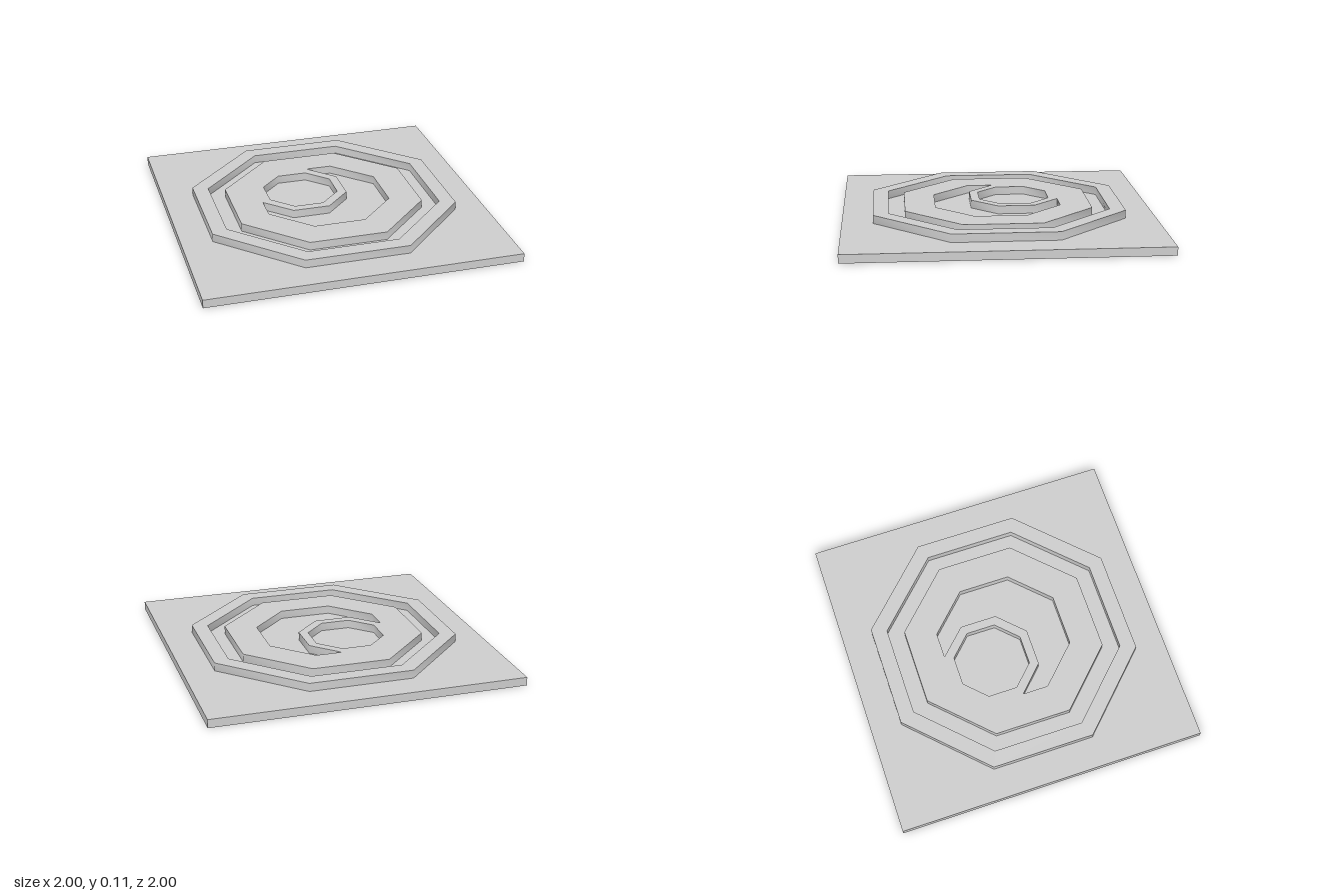
import * as THREE from 'three';
import { toCreasedNormals } from 'three/addons/utils/BufferGeometryUtils.js';

const BASE = 0.054, TOP = 0.107;

// Octagon corners (x, z) from its centre and its centre-to-side distance
function octagon(apothem, cx = 0, cz = 0) {
  const r = apothem / Math.cos(Math.PI / 8);
  return Array.from({ length: 8 }, (_, i) => {
    const a = (i + 0.5) * Math.PI / 4;
    return new THREE.Vector2(cx + r * Math.cos(a), cz + r * Math.sin(a));
  });
}

// Raised plate on the slab: sharp rims, smooth walls round the 45 degree corners
function plate(name, outline, holes, material) {
  const shape = new THREE.Shape(outline);
  shape.holes = holes.map((h) => new THREE.Path(h));
  const extruded = new THREE.ExtrudeGeometry(shape, { depth: TOP - BASE, bevelEnabled: false });
  extruded.rotateX(Math.PI / 2).translate(0, TOP, 0);
  const mesh = new THREE.Mesh(toCreasedNormals(extruded, THREE.MathUtils.degToRad(50)), material);
  mesh.name = name;
  return mesh;
}

export function createModel() {
  const group = new THREE.Group();
  group.name = 'reliefTile';
  const stone = new THREE.MeshStandardMaterial({ color: 0xcccccc });
  stone.name = 'light grey';

  // Square slab
  const slab = new THREE.Mesh(new THREE.BoxGeometry(2, BASE, 2), stone);
  slab.name = 'slab';
  slab.position.y = BASE / 2;
  group.add(slab);

  // Outer octagonal rim
  group.add(plate('outerRim', octagon(0.803), [octagon(0.705)], stone));

  // Inner medallion with a crescent recess and an offset octagonal recess
  const crescent = [
    [0, -0.403], [0.166, -0.403], [0.403, -0.166], [0.403, 0.166], [0.166, 0.403],
    [-0.166, 0.403], [-0.403, 0.166], [-0.403, 0], [-0.238, 0.163], [0, 0.163],
    [0.163, 0], [0.163, -0.238],
  ].map(([x, z]) => new THREE.Vector2(x, z));
  group.add(plate('medallion', octagon(0.6), [crescent, octagon(0.227, -0.12, -0.12)], stone));

  return group;
}
